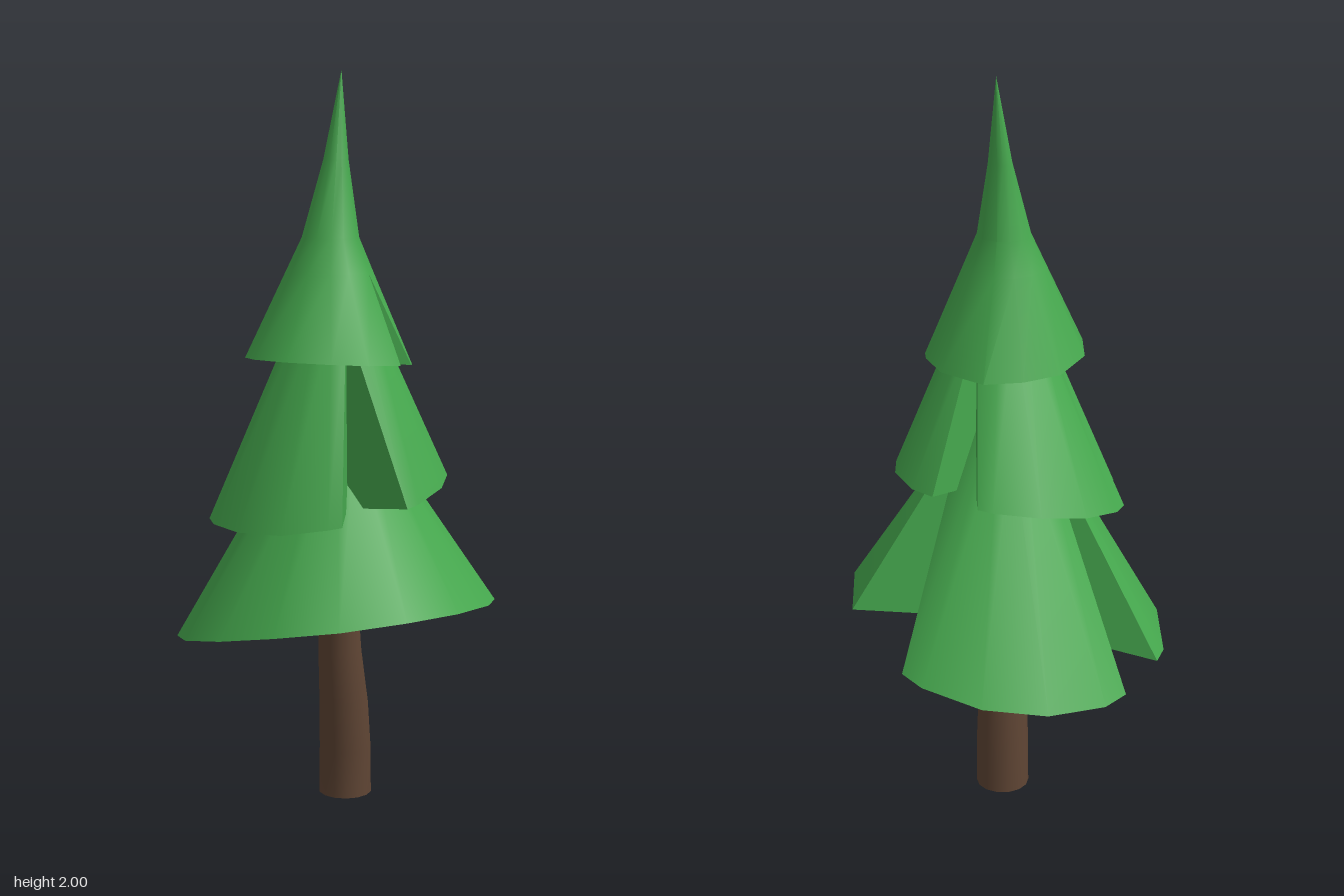
import * as THREE from 'three';
import { toCreasedNormals } from 'three/addons/utils/BufferGeometryUtils.js';

const green = new THREE.MeshStandardMaterial({ color: 0x45a74d });
const brown = new THREE.MeshStandardMaterial({ color: 0x5f4534 });

// Skin a stack of equal-length rings (bottom to top); both ends close on a centre point.
function loft(name, rings, bottom, top, material) {
  const n = rings[0].length;
  const points = [...rings.flat(), bottom, top];
  const base = rings.length * n;
  const index = [];
  for (let j = 0; j < n; j++) {
    const k = (j + 1) % n;
    index.push(base, k, j);
    for (let r = 0; r < rings.length - 1; r++) {
      const a = r * n + j, b = r * n + k;
      index.push(a, b, b + n, a, b + n, a + n);
    }
    index.push(base - n + j, base - n + k, base + 1);
  }
  const geometry = new THREE.BufferGeometry();
  geometry.setAttribute('position', new THREE.Float32BufferAttribute(points.flat(), 3));
  geometry.setIndex(index);
  const mesh = new THREE.Mesh(toCreasedNormals(geometry, 0.6), material);
  mesh.name = name;
  return mesh;
}

// Round ring with one vertex at each given angle.
const circle = (angles, [x, y, z, r]) =>
  angles.map(a => [x + r * Math.sin(a), y, z + r * Math.cos(a)]);

// Foliage tier: a notched [x, z] outline on a tilted plane, drawn up to a tip.
// A third value is the angle in degrees, round the neck, where a notch closes.
function tier(name, rim, [cx, cz], height, necks, tip) {
  const angles = rim.map(([x, z, turn]) =>
    turn === undefined ? Math.atan2(x - cx, z - cz) : THREE.MathUtils.degToRad(turn));
  const outline = rim.map(([x, z]) => [x, height(x, z), z]);
  const rings = [outline, ...necks.map(neck => circle(angles, neck))];
  return loft(name, rings, [cx, height(cx, cz), cz], tip, green);
}

export function createModel() {
  const tree = new THREE.Group();
  tree.name = 'pineTree';

  // Slightly bent trunk
  const sides = Array.from({ length: 14 }, (_, i) => (i / 14) * Math.PI * 2);
  const trunkRings = [
    [0.026, 0, -0.057, 0.074],
    [0.026, 0.13, -0.055, 0.073],
    [0.021, 0.27, -0.041, 0.069],
    [0.01, 0.42, -0.033, 0.061],
    [0.005, 0.6, -0.015, 0.053],
  ].map(ring => circle(sides, ring));
  tree.add(loft('trunk', trunkRings, [0.026, 0, -0.057], [0.005, 0.6, -0.015], brown));

  // Bottom tier, notched at the right and the back
  tree.add(tier('lowerFoliage', [
    [-0.01, 0.47], [0.165, 0.415], [0.305, 0.32], [0.4, 0.175],
    [0.437, 0, 94], [0.165, -0.03, 94], [0.355, -0.285, 94],
    [0.315, -0.345], [0.175, -0.44], [0.005, -0.472], [-0.16, -0.44],
    [-0.232, -0.39, 237], [-0.15, -0.147, 237], [-0.365, -0.25, 237],
    [-0.4, -0.2], [-0.44, -0.015], [-0.41, 0.175], [-0.315, 0.32], [-0.175, 0.413],
  ], [0, 0.04], (x, z) => 0.518 + 0.11 * x + 0.18 * z,
  [[0, 1.05, 0.045, 0.11]], [0, 1.2, 0.045]));

  // Middle tier, notched at the front, the back right and the left
  tree.add(tier('middleFoliage', [
    [0, 0.398, 14], [0.02, 0.235, 14], [0.17, 0.33, 14],
    [0.2, 0.305], [0.27, 0.19], [0.295, 0.075], [0.278, -0.075],
    [0.235, -0.135, 131], [0.09, -0.01, 131], [0.135, -0.23, 131],
    [0.1, -0.255], [-0.025, -0.277], [-0.155, -0.255], [-0.26, -0.185],
    [-0.3, -0.12, 286], [-0.185, 0.06, 286], [-0.343, 0.118, 286],
    [-0.33, 0.18], [-0.265, 0.29], [-0.155, 0.38], [-0.035, 0.4],
  ], [0, 0.07], (x, z) => 0.89 + 0.16 * x - 0.085 * z,
  [[-0.01, 1.36, 0.1, 0.11]], [-0.01, 1.5, 0.1]));

  // Top tier with a slender curved tip and one small notch
  tree.add(tier('upperFoliage', [
    [-0.025, 0.343], [0.07, 0.325],
    [0.157, 0.237, 60], [0.095, 0.17, 60], [0.19, 0.155, 60],
    [0.195, 0.12], [0.175, 0.02], [0.085, -0.09], [-0.02, -0.107], [-0.125, -0.09],
    [-0.22, 0.01], [-0.245, 0.12], [-0.22, 0.22], [-0.14, 0.31],
  ], [-0.025, 0.115], (x, z) => 1.235 - 0.045 * x + 0.08 * z, [
    [-0.023, 1.48, 0.113, 0.115],
    [-0.02, 1.57, 0.11, 0.075],
    [-0.005, 1.77, 0.09, 0.033],
  ], [0.01, 2, 0.07]));

  return tree;
}
